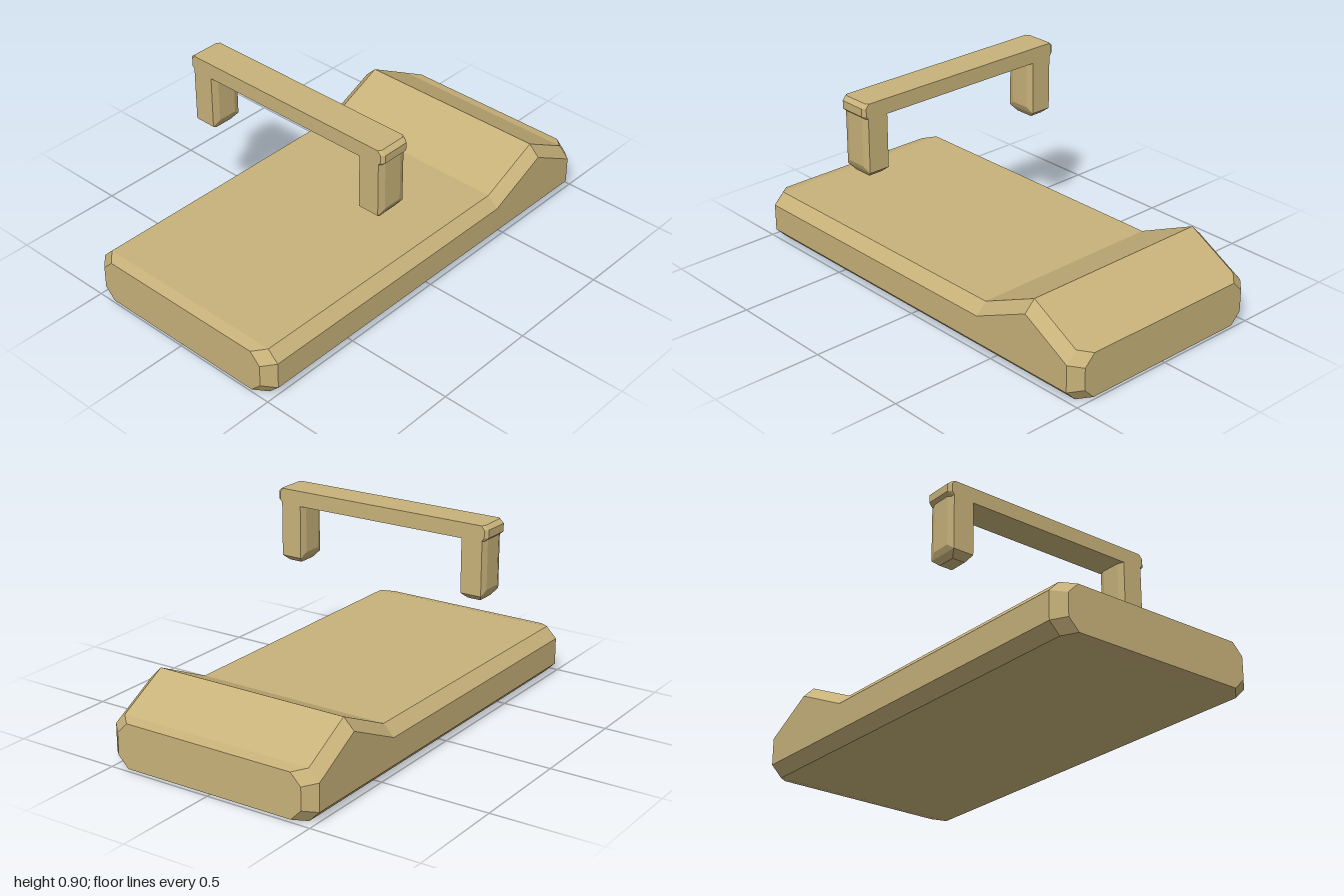
import * as THREE from 'three';
import { ConvexGeometry } from 'three/addons/geometries/ConvexGeometry.js';

const material = new THREE.MeshStandardMaterial({ color: 0xc8b27a, flatShading: true });

function part(name, geometry, parent) {
  const mesh = new THREE.Mesh(geometry, material);
  mesh.name = name;
  parent.add(mesh);
  return mesh;
}

// Octagonal ring, counter-clockwise seen from +z
function octagon(z, halfWidth, bottom, top, chamfer = 0.05) {
  const w = halfWidth, c = chamfer;
  return [
    [w, bottom + c], [w, top - c], [w - c, top], [c - w, top],
    [-w, top - c], [-w, bottom + c], [c - w, bottom], [w - c, bottom],
  ].map(([x, y]) => [x, y, z]);
}

// Skin rings running from +z to -z and close both ends
function loft(rings) {
  const n = rings[0].length, index = [];
  for (let r = 0; r < rings.length - 1; r++) {
    for (let i = 0; i < n; i++) {
      const a = r * n + i, b = r * n + (i + 1) % n;
      index.push(a, a + n, b, b, a + n, b + n);
    }
  }
  const last = (rings.length - 1) * n;
  for (let i = 1; i < n - 1; i++) {
    index.push(0, i, i + 1, last, last + i + 1, last + i);
  }
  const geometry = new THREE.BufferGeometry();
  geometry.setAttribute('position', new THREE.Float32BufferAttribute(rings.flat(2), 3));
  geometry.setIndex(index);
  const flat = geometry.toNonIndexed();
  flat.computeVertexNormals();
  return flat;
}

// Convex block from corner points mirrored across the listed axes
function block(corners, mirrorX, mirrorY, mirrorZ) {
  const points = [];
  for (const [x, y, z] of corners)
    for (const sx of mirrorX ? [1, -1] : [1])
      for (const sy of mirrorY ? [1, -1] : [1])
        for (const sz of mirrorZ ? [1, -1] : [1])
          points.push(new THREE.Vector3(x * sx, y * sy, z * sz));
  return new ConvexGeometry(points);
}

export function createModel() {
  const model = new THREE.Group();
  model.name = 'bedWithRail';

  // Chamfered slab with a raised ridge near the back
  part('bed', loft([
    octagon(1, 0.46, 0.012, 0.213),
    octagon(0.95, 0.512, 0, 0.224),
    octagon(-0.43, 0.512, 0, 0.224),
    octagon(-0.715, 0.512, 0, 0.354),
    octagon(-0.95, 0.512, 0, 0.224),
    octagon(-1, 0.46, 0.012, 0.213),
  ]), model);

  // Floating rail
  const rail = new THREE.Group();
  rail.name = 'rail';
  rail.position.z = 0.3;
  model.add(rail);

  // Crossbar with chamfered ends
  part('crossbar', block([
    [0.515, 0.035, 0.075],
    [0.525, 0.035, 0.062],
    [0.53, 0.018, 0.075],
    [0.545, 0.018, 0.062],
  ], true, true, true), rail).position.y = 0.866;

  // Hanging legs with bevelled feet
  const legGeometry = block([
    [0.05, 0.85, 0.075], [0.061, 0.85, 0.045],
    [0.05, 0.587, 0.075], [0.061, 0.612, 0.045],
    [0.031, 0.56, 0.043],
  ], true, false, true);
  for (const side of [1, -1]) {
    part(side > 0 ? 'leftLeg' : 'rightLeg', legGeometry, rail).position.x = side * 0.47;
  }
  return model;
}
